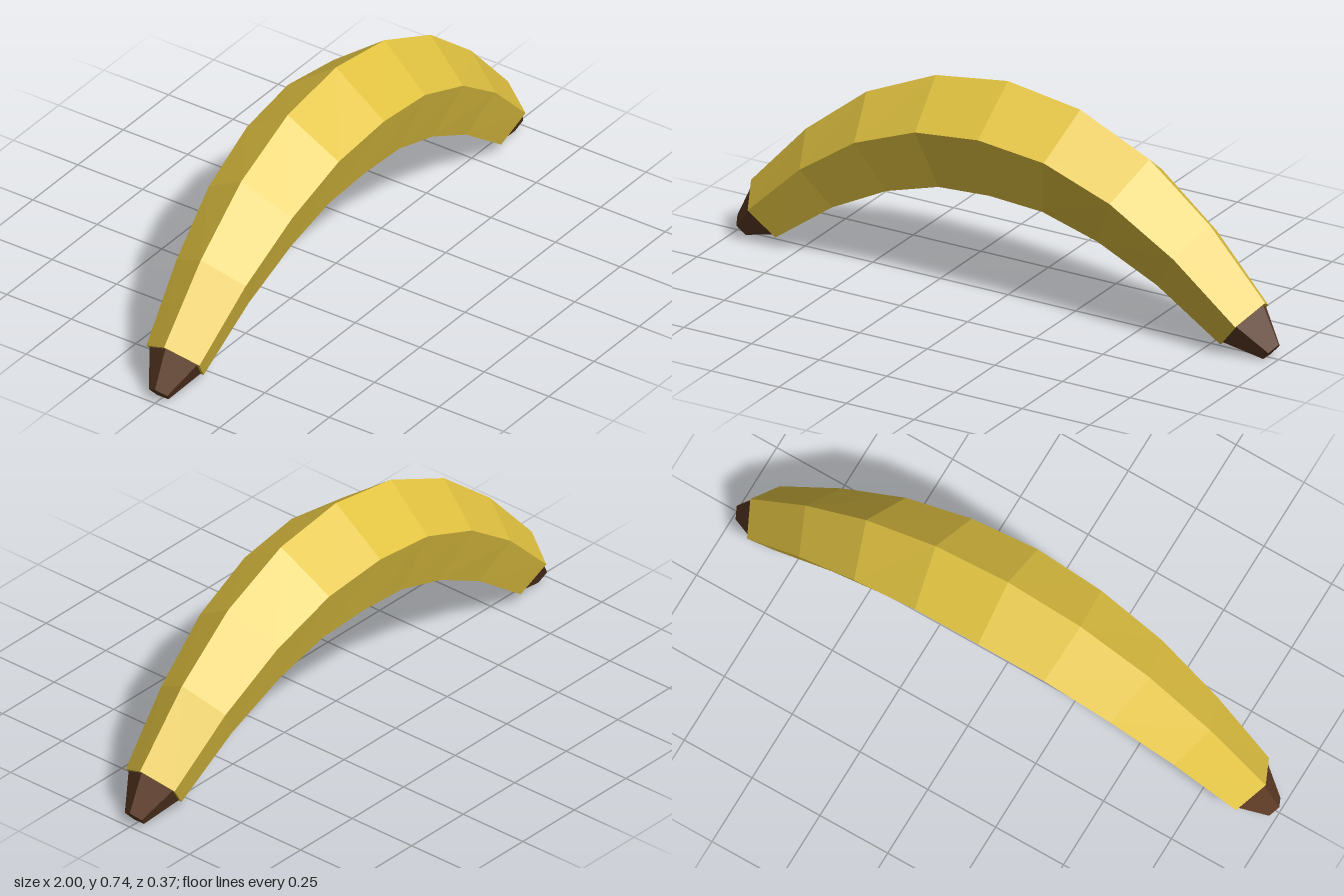
import * as THREE from 'three';

const SIDES = 5;

// Pentagon cross-section: its centre lies in the xy plane and one corner points along the outward tilt
function ring(cx, cy, tilt, r) {
  return Array.from({ length: SIDES }, (_, k) => {
    const a = (k / SIDES) * Math.PI * 2;
    const out = r * Math.cos(a);
    return [cx + out * Math.sin(tilt), cy + out * Math.cos(tilt), r * Math.sin(a)];
  });
}

// Flat-shaded skin through rings ordered from -x to +x, with optional end caps
function skin(rings, capStart, capEnd) {
  const pos = [];
  const tri = (a, b, c) => pos.push(...a, ...b, ...c);
  for (let i = 0; i < rings.length - 1; i++) {
    for (let k = 0; k < SIDES; k++) {
      const n = (k + 1) % SIDES;
      const a = rings[i][k], b = rings[i][n], c = rings[i + 1][n], d = rings[i + 1][k];
      tri(a, b, d);
      tri(b, c, d);
    }
  }
  const first = rings[0], last = rings[rings.length - 1];
  for (let k = 1; k < SIDES - 1; k++) {
    if (capStart) tri(first[0], first[k + 1], first[k]);
    if (capEnd) tri(last[0], last[k], last[k + 1]);
  }
  const geo = new THREE.BufferGeometry();
  geo.setAttribute('position', new THREE.Float32BufferAttribute(pos, 3));
  geo.computeVertexNormals();
  return geo;
}

export function createModel() {
  const group = new THREE.Group();
  group.name = 'banana';

  const peel = new THREE.MeshStandardMaterial({ color: 0xe2c341, flatShading: true });
  peel.name = 'peel yellow';
  const brown = new THREE.MeshStandardMaterial({ color: 0x5e3c25, flatShading: true });
  brown.name = 'tip brown';

  // Half of the arc, middle to end: outer ridge x, y, tilt in degrees, radius
  const half = [
    [0, 0.741, 0, 0.196],
    [0.267, 0.702, 12.8, 0.187],
    [0.523, 0.587, 25.5, 0.17],
    [0.747, 0.408, 35, 0.141],
    [0.95, 0.185, 40.8, 0.108],
  ].map(([x, y, deg, r]) => {
    const t = THREE.MathUtils.degToRad(deg);
    return { x: x - r * Math.sin(t), y: y - r * Math.cos(t), t, r };
  });
  const mirrored = half.slice(1).reverse().map((h) => ({ ...h, x: -h.x, t: -h.t }));
  const rings = [...mirrored, ...half].map((h) => ring(h.x, h.y, h.t, h.r));

  // Curved peel
  const body = new THREE.Mesh(skin(rings, true, true), peel);
  body.name = 'peel';
  group.add(body);

  // Tapered brown tips, slightly narrower than the peel ends
  const end = half[half.length - 1];
  for (const s of [-1, 1]) {
    const base = ring(s * end.x, end.y, s * end.t, 0.097);
    const point = ring(s * 0.976, 0.0235, s * end.t, 0.037);
    const geo = s > 0 ? skin([base, point], false, true) : skin([point, base], true, false);
    const tip = new THREE.Mesh(geo, brown);
    tip.name = s > 0 ? 'leftTip' : 'rightTip';
    group.add(tip);
  }
  return group;
}
